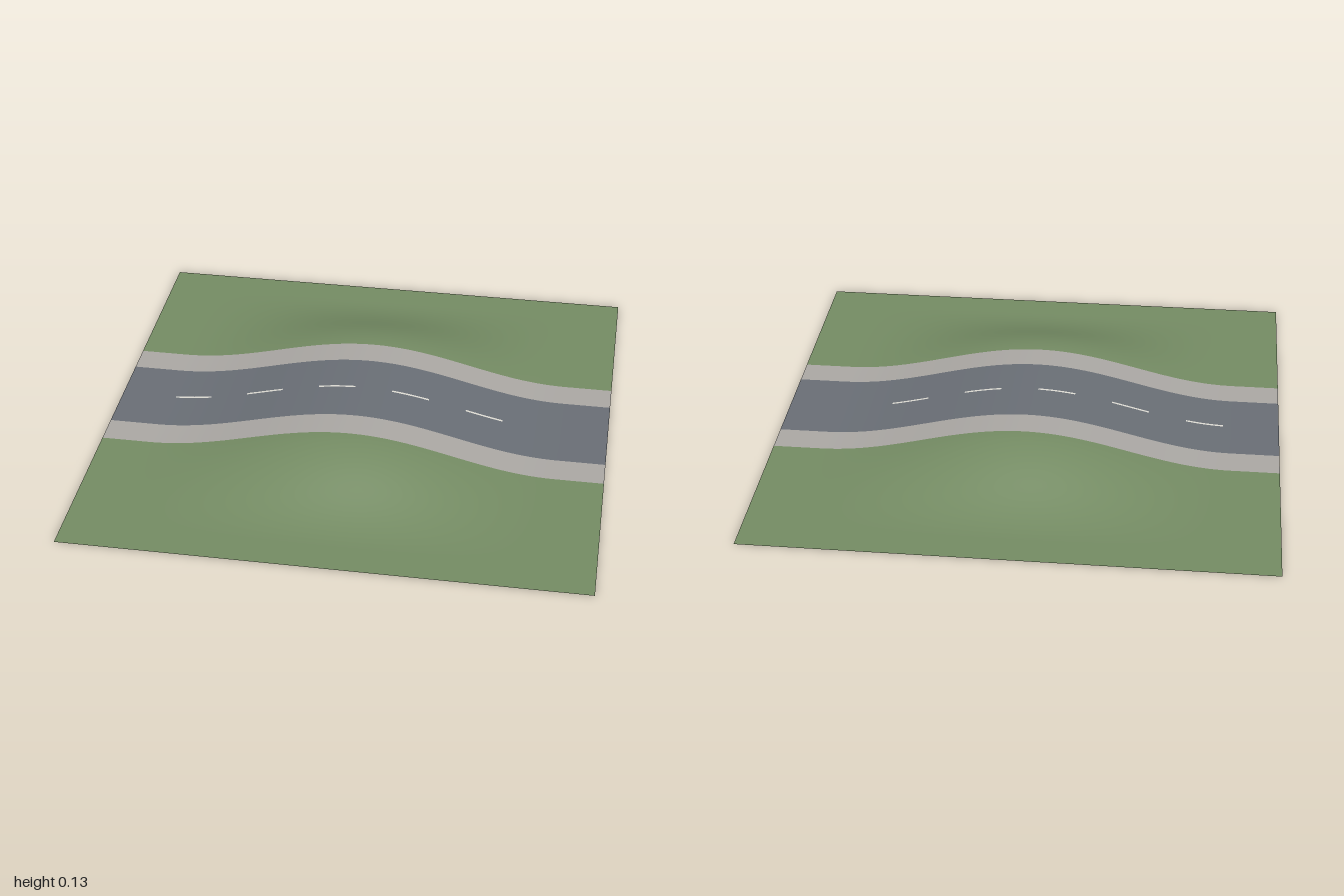
import * as THREE from 'three';

const HEIGHT = 0.13;

// Smooth 1 -> 0 cosine falloff between two distances
function falloff(d, start, end) {
  const t = THREE.MathUtils.clamp((Math.abs(d) - start) / (end - start), 0, 1);
  return 0.5 * (1 + Math.cos(Math.PI * t));
}

// Hump along the road, flat across it, easing out into the grass
const heightAt = (x, z) => HEIGHT * falloff(x, 0, 0.81) * falloff(z, 0.325, 0.87);

// Rectangular patch of ground draped over the hump
function patch(name, material, x0, x1, z0, z1, nx, nz, lift = 0) {
  const geo = new THREE.PlaneGeometry(x1 - x0, z1 - z0, nx, nz);
  geo.rotateX(-Math.PI / 2);
  geo.translate((x0 + x1) / 2, 0, (z0 + z1) / 2);
  const pos = geo.attributes.position;
  for (let i = 0; i < pos.count; i++) {
    pos.setY(i, heightAt(pos.getX(i), pos.getZ(i)) + lift);
  }
  geo.computeVertexNormals();
  const mesh = new THREE.Mesh(geo, material);
  mesh.name = name;
  return mesh;
}

function mat(name, color) {
  const m = new THREE.MeshStandardMaterial({ color, side: THREE.DoubleSide });
  m.name = name;
  return m;
}

export function createModel() {
  const group = new THREE.Group();
  group.name = 'hillRoadTile';
  const grass = mat('grass green', 0x748b63);
  const paving = mat('paving grey', 0xaaa7a3);
  const asphalt = mat('asphalt grey', 0x696e75);
  const paint = mat('road paint', 0xdcdad2);

  // Road surface
  group.add(patch('road', asphalt, -1, 1, -0.2, 0.2, 80, 4));

  // Pavements and grass banks on both sides
  group.add(patch('leftPavement', paving, -1, 1, -0.325, -0.2, 80, 2));
  group.add(patch('rightPavement', paving, -1, 1, 0.2, 0.325, 80, 2));
  group.add(patch('leftGrass', grass, -1, 1, -1, -0.325, 80, 32));
  group.add(patch('rightGrass', grass, -1, 1, 0.325, 1, 80, 32));

  // Centre line dashes
  for (let i = 0; i < 5; i++) {
    const x = -0.7 + i * 0.3;
    group.add(patch('centreDash', paint, x - 0.075, x + 0.075, -0.005, 0.005, 6, 1, 0.002));
  }
  return group;
}
